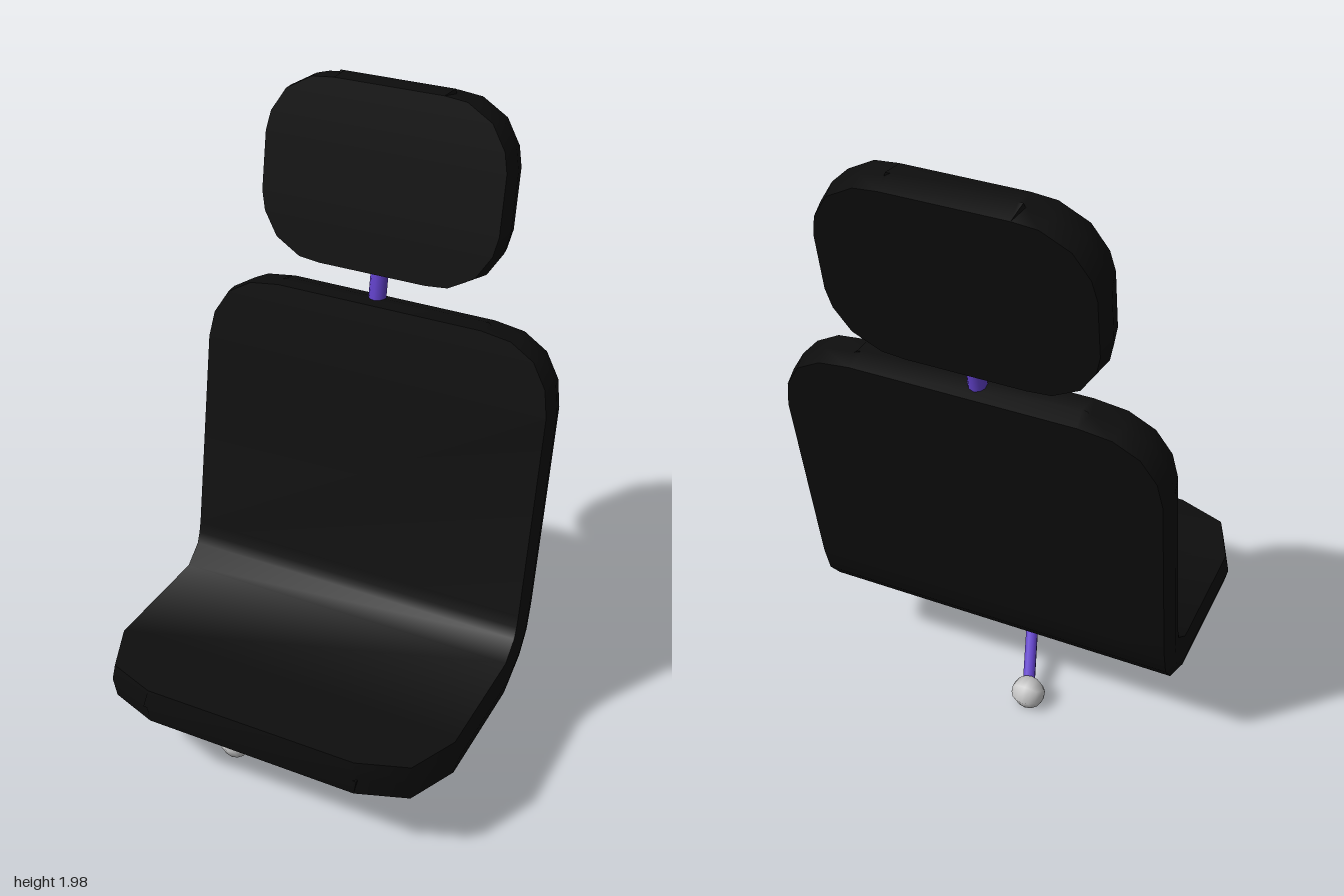
import * as THREE from 'three';
import { toCreasedNormals } from 'three/addons/utils/BufferGeometryUtils.js';

const black = new THREE.MeshStandardMaterial({ color: 0x0d0d0d });
const purple = new THREE.MeshStandardMaterial({ color: 0x6040c8 });
const grey = new THREE.MeshStandardMaterial({ color: 0xcccccc });

const BULGE = 0.013; // how far the rim swells past the faces
const HALF = 0.058; // half the padding thickness
const TILT = 0.166; // lean of the backrest, radians

// Loft a padded slab through rows of [faceZ, faceY, backZ, backY, halfWidth]
function padding(rows, x0 = 0) {
  const pos = [], index = [];
  for (const [fz, fy, bz, by, w] of rows) {
    const i = w - BULGE, mz = (fz + bz) / 2, my = (fy + by) / 2;
    pos.push(x0 - i, fy, fz, x0 + i, fy, fz, x0 + w, my, mz,
      x0 + i, by, bz, x0 - i, by, bz, x0 - w, my, mz);
  }
  for (let r = 0; r < rows.length - 1; r++) {
    for (let k = 0; k < 6; k++) {
      const a = r * 6 + k, b = r * 6 + (k + 1) % 6;
      index.push(a, b, b + 6, a, b + 6, a + 6);
    }
  }
  const g = new THREE.BufferGeometry();
  g.setAttribute('position', new THREE.Float32BufferAttribute(pos, 3));
  g.setIndex(index);
  return toCreasedNormals(g, 0.9);
}

// Row on a leaning straight run, s along it from (z, y); half = 0 closes an end
function leaning(z, y, s, w, half = HALF) {
  const c = Math.cos(TILT), n = Math.sin(TILT);
  const mz = z - n * s, my = y + c * s;
  return [mz + c * half, my + n * half, mz - c * half, my - n * half, w];
}

function rod(a, b, radius, sides) {
  const d = new THREE.Vector3().subVectors(b, a);
  const m = new THREE.Mesh(new THREE.CylinderGeometry(radius, radius, d.length(), sides), purple);
  m.position.addVectors(a, b).multiplyScalar(0.5);
  m.quaternion.setFromUnitVectors(new THREE.Vector3(0, 1, 0), d.normalize());
  return m;
}

export function createModel() {
  const group = new THREE.Group();
  const add = (mesh, name, parent = group) => {
    mesh.name = name;
    parent.add(mesh);
    return mesh;
  };
  const V = (x, y, z) => new THREE.Vector3(x, y, z);

  // Seat and backrest: one bent slab with rounded corners at both ends
  const flat = (z, w) => [z, 0.374, z, 0.257, w];
  const back = (s, w, half) => leaning(-0.219, 0.488, s, w, half);
  add(new THREE.Mesh(padding([
    [0.534, 0.316, 0.534, 0.316, 0.355],
    flat(0.523, 0.355), flat(0.468, 0.508), flat(0.315, 0.575),
    [-0.075, 0.374, -0.08, 0.257, 0.575],
    [-0.138, 0.425, -0.2, 0.32, 0.575],
    [-0.152, 0.46, -0.25, 0.385, 0.575],
    back(0, 0.575), back(0.65, 0.575), back(0.735, 0.56), back(0.81, 0.515),
    back(0.855, 0.44), back(0.868, 0.345), back(0.878, 0.335, 0),
  ]), black), 'seatAndBackrest');

  // Headrest: leaning slab, symmetric top to bottom
  const outline = [[0.275, 0.185], [0.268, 0.255], [0.222, 0.335], [0.15, 0.38], [0.09, 0.393]];
  const rest = (s, w, half) => leaning(-0.428, 1.708, s, w, half);
  add(new THREE.Mesh(padding([
    rest(-0.288, 0.18, 0),
    ...outline.map(([s, w]) => rest(-s, w)),
    ...outline.slice().reverse().map(([s, w]) => rest(s, w)),
    rest(0.288, 0.18, 0),
  ], -0.027), black), 'headrest');

  // Headrest post
  add(rod(V(-0.027, 1.27, -0.354), V(-0.027, 1.5, -0.393), 0.027, 10), 'headrestPost');

  // Swivel base: column, hub, three legs with casters
  const base = add(new THREE.Group(), 'base');
  base.position.z = 0.07;
  add(rod(V(0, 0.15, 0), V(0, 0.29, 0), 0.032, 12), 'column', base);
  add(rod(V(0, 0.135, 0), V(0, 0.195, 0), 0.044, 8), 'hub', base);
  const ball = new THREE.SphereGeometry(0.053, 6, 8).rotateY(Math.PI / 2).rotateZ(Math.PI / 2);
  for (let i = 0; i < 3; i++) {
    const a = 0.17 + i * Math.PI * 2 / 3;
    const end = V(0.289 * Math.cos(a), 0.053, 0.289 * Math.sin(a));
    add(rod(V(0, 0.17, 0), end, 0.02, 8), 'leg', base);
    add(new THREE.Mesh(ball, grey), 'caster', base).position.copy(end);
  }
  return group;
}
